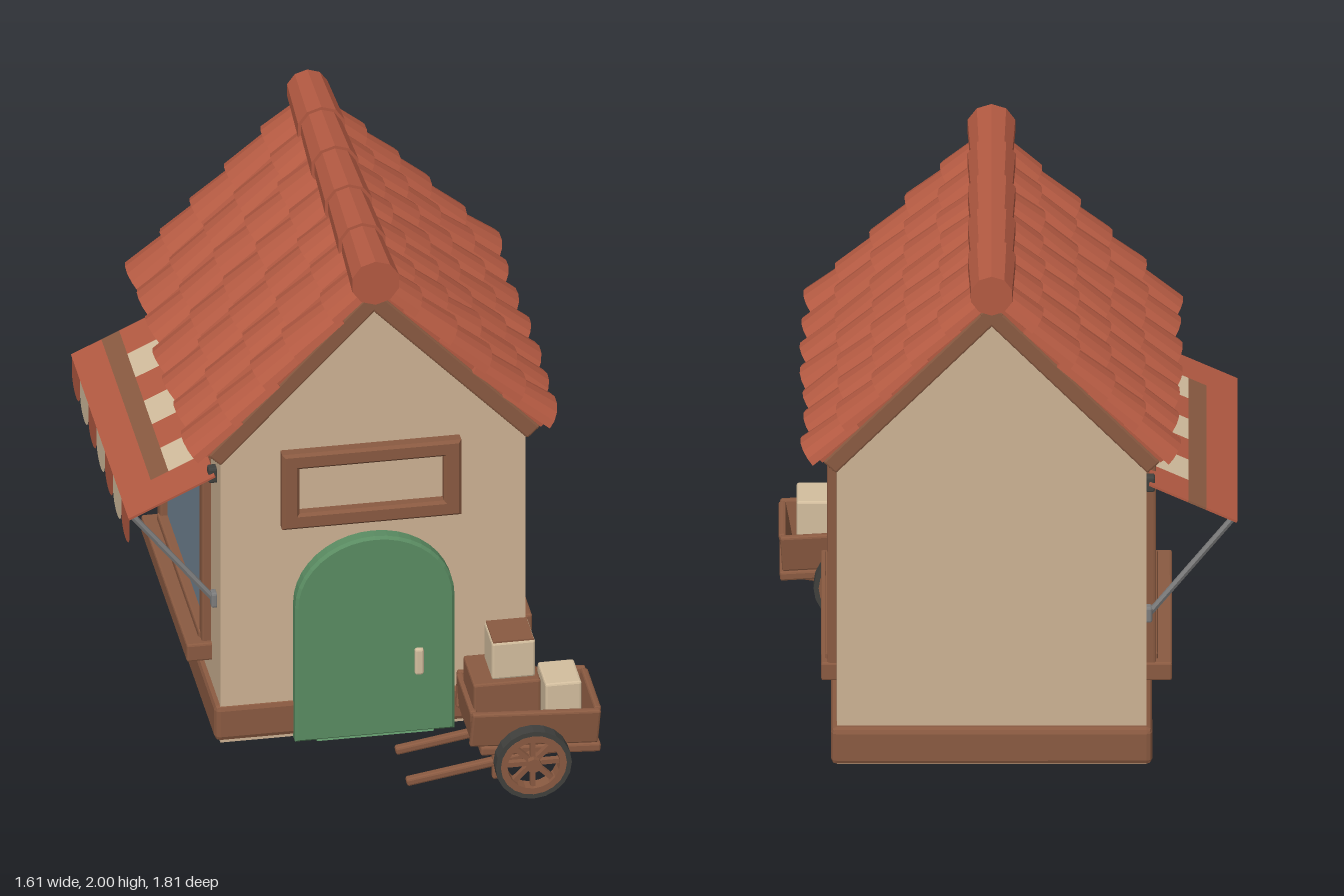
import * as THREE from 'three';
import { RoundedBoxGeometry } from 'three/addons/geometries/RoundedBoxGeometry.js';

const mat = (name, color) => {
  const m = new THREE.MeshStandardMaterial({ color, flatShading: true, side: THREE.DoubleSide });
  m.name = name;
  return m;
};
const M = {
  tile: mat('terracotta', 0xb45a42), wood: mat('brown wood', 0x8a5a41), wall: mat('plaster', 0xcdb293),
  green: mat('door green', 0x5a8c62), glass: mat('window glass', 0x728594), cream: mat('cream', 0xd3be9e),
  metal: mat('grey metal', 0x7c7c7c), dark: mat('dark tyre', 0x40403d),
};
const CX = 0.055, CZ = -0.215; // centre of the house

let seed = 7;
const jitter = (a) => { seed = (seed * 16807) % 2147483647; return (seed / 2147483647 - 0.5) * 2 * a; };

function add(parent, name, geo, m, x = 0, y = 0, z = 0) {
  const mesh = new THREE.Mesh(geo, m);
  mesh.name = name;
  mesh.position.set(x, y, z);
  parent.add(mesh);
  return mesh;
}
function group(parent, name, x = 0, y = 0, z = 0) {
  const g = new THREE.Group();
  g.name = name;
  g.position.set(x, y, z);
  parent.add(g);
  return g;
}
// box given by its limits, with softened edges
function box(parent, name, m, [x0, x1], [y0, y1], [z0, z1], r = 0.008) {
  const w = x1 - x0, h = y1 - y0, d = z1 - z0;
  const geo = r ? new RoundedBoxGeometry(w, h, d, 1, Math.min(r, w * 0.4, h * 0.4, d * 0.4)) : new THREE.BoxGeometry(w, h, d);
  return add(parent, name, geo, m, (x0 + x1) / 2, (y0 + y1) / 2, (z0 + z1) / 2);
}
// round bar between two points
function bar(parent, name, m, a, b, r, sides = 6) {
  const p = new THREE.Vector3(...a), q = new THREE.Vector3(...b), d = q.clone().sub(p);
  const mesh = add(parent, name, new THREE.CylinderGeometry(r, r, d.length(), sides), m);
  mesh.position.copy(p).add(q).multiplyScalar(0.5);
  mesh.quaternion.setFromUnitVectors(new THREE.Vector3(0, 1, 0), d.normalize());
  return mesh;
}
function extrude(shape, depth, bevel = 0) {
  return new THREE.ExtrudeGeometry(shape, {
    depth, curveSegments: 10, bevelEnabled: bevel > 0, bevelSize: bevel, bevelThickness: bevel, bevelOffset: -bevel, bevelSegments: 1,
  });
}
const rect = (x0, x1, y0, y1) => new THREE.Shape([[x0, y0], [x1, y0], [x1, y1], [x0, y1]].map((p) => new THREE.Vector2(...p)));
function arch(half, bottom, top) {
  const s = new THREE.Shape(), spring = top - half * 0.93;
  s.moveTo(-half, bottom);
  s.lineTo(half, bottom);
  s.lineTo(half, spring);
  s.absellipse(0, spring, half, half * 0.93, 0, Math.PI, false, 0);
  s.closePath();
  return s;
}
function frame(parent, name, m, [x0, x1], [y0, y1], t, z0, z1) {
  const s = rect(x0, x1, y0, y1);
  s.holes.push(rect(x0 + t, x1 - t, y0 + t, y1 - t));
  return add(parent, name, extrude(s, z1 - z0 - 0.02, 0.01), m, 0, 0, z0 + 0.01);
}

function buildWalls(root) {
  const g = group(root, 'walls');
  const s = new THREE.Shape([[-0.49, 0.06], [0.6, 0.06], [0.6, 1.22], [CX, 1.79], [-0.49, 1.22]].map((p) => new THREE.Vector2(...p)));
  add(g, 'plasterWalls', extrude(s, 1.265), M.wall, 0, 0, -0.85);
  box(g, 'plinth', M.wood, [-0.51, 0.62], [0.067, 0.21], [-0.88, 0.425], 0.02);
}

function buildRoof(root) {
  const g = group(root, 'roof', CX, 1.87, CZ);
  const rows = 5, cols = 7, pitch = 0.195, step = 0.174;
  for (const turn of [0, Math.PI]) {
    const side = group(g, 'roofSide');
    side.rotation.y = turn;
    const slope = group(side, 'roofSlope');
    slope.rotation.z = -0.807;
    box(slope, 'roofBoards', M.wood, [0, 0.86], [-0.065, 0], [-0.66, 0.66]);
    box(slope, 'tileBed', M.tile, [0, 0.86], [0, 0.016], [-0.66, 0.66], 0);
    // overlapping barrel tiles
    for (let c = 0; c < cols; c++) for (let r = 0; r < rows; r++) {
      const geo = new THREE.CylinderGeometry(0.088, 0.103 + jitter(0.004), step + 0.04, 7, 1, false, 0, Math.PI);
      geo.rotateZ(Math.PI / 2).scale(1, 0.62, 1);
      const tile = add(slope, 'roofTile', geo, M.tile, (r + 0.5) * step - 0.008 + jitter(0.012), 0.014, (c - 3) * pitch + jitter(0.006));
      tile.rotation.set(jitter(0.05), jitter(0.05), 0.09 + jitter(0.03));
    }
  }
  // ridge caps
  for (let i = 0; i < 5; i++) {
    const cap = add(g, 'ridgeCap', new THREE.CylinderGeometry(0.088, 0.076, 0.285, 10), M.tile, 0, 0.042, (i - 2) * 0.273);
    cap.rotation.x = Math.PI / 2;
  }
}

function buildDoor(root) {
  const g = group(root, 'door', CX, 0, 0);
  const surround = arch(0.285, 0.06, 0.87);
  surround.holes.push(arch(0.2, 0.07, 0.785));
  add(g, 'doorFrame', extrude(surround, 0.04, 0.01), M.green, 0, 0, 0.415);
  add(g, 'doorPanel', extrude(arch(0.215, 0.065, 0.8), 0.03), M.green, 0, 0, 0.405);
  for (let i = 0; i < 4; i++) {
    const x = -0.2 + i * 0.1;
    box(g, 'doorPlank', M.green, [x + 0.004, x + 0.096], [0.07, 0.36], [0.42, 0.447]);
  }
  box(g, 'doorLedge', M.green, [-0.205, 0.205], [0.345, 0.42], [0.42, 0.46]);
  frame(g, 'doorWindowFrame', M.green, [-0.1, 0.115], [0.475, 0.7], 0.028, 0.42, 0.465);
  box(g, 'doorWindowGlass', M.glass, [-0.08, 0.095], [0.495, 0.68], [0.435, 0.443], 0);
  box(g, 'doorHandle', M.cream, [0.14, 0.172], [0.3, 0.405], [0.45, 0.48]);
}

function buildSign(root) {
  const g = group(root, 'signBoard');
  frame(g, 'signFrame', M.wood, [-0.275, 0.365], [0.925, 1.23], 0.062, 0.4, 0.46);
  box(g, 'signPanel', M.wall, [-0.23, 0.32], [0.97, 1.19], [0.412, 0.42], 0);
}

function buildSideWindows(root) {
  for (const s of [1, -1]) {
    const g = group(root, s > 0 ? 'leftWindow' : 'rightWindow', CX, 0, 0);
    const span = (a, b) => (s > 0 ? [a, b] : [-b, -a]);
    box(g, 'windowGlass', M.glass, span(0.543, 0.551), [0.38, 1.2], [-0.62, 0.19], 0);
    for (const z of [-0.67, 0.17]) box(g, 'windowPost', M.wood, span(0.53, 0.578), [0.36, 1.19], [z, z + 0.06]);
    box(g, 'lowerRail', M.wood, span(0.53, 0.585), [0.36, 0.395], [-0.64, 0.2]);
    box(g, 'windowSill', M.wood, span(0.53, s > 0 ? 0.6 : 0.635), [0.3, 0.37], [-0.675, 0.25]);
  }
}

function buildAwning(root) {
  const g = group(root, 'awning');
  const cloth = group(g, 'awningCloth', -0.5, 1.12, 0);
  cloth.rotation.z = 0.437;
  const z0 = -0.79, w = 1.16 / 7;
  const t = [-0.004, 0.004];
  box(cloth, 'outerBand', M.tile, [-0.34, -0.22], t, [z0, z0 + 7 * w], 0);
  box(cloth, 'middleBand', M.wood, [-0.22, -0.15], t, [z0, z0 + 6 * w], 0);
  box(cloth, 'endBand', M.tile, [-0.22, -0.15], t, [z0 + 6 * w, z0 + 7 * w], 0);
  for (let i = 0; i < 7; i++) {
    const m = i % 2 ? M.cream : M.tile, a = z0 + i * w;
    box(cloth, 'clothStripe', m, [-0.15, 0], t, [a, a + w], 0);
    // scalloped valance
    const s = new THREE.Shape();
    s.moveTo(-w / 2, 0);
    s.lineTo(-w / 2, -0.07);
    s.absellipse(0, -0.07, w / 2, 0.055, Math.PI, Math.PI * 2, false, 0);
    s.lineTo(w / 2, 0);
    s.closePath();
    const flap = add(g, 'valanceFlap', new THREE.ShapeGeometry(s, 6), m, -0.806, 0.978, a + w / 2);
    flap.rotation.y = -Math.PI / 2;
  }
  for (const z of [-0.75, 0.33]) {
    bar(g, 'awningArm', M.metal, [-0.79, 0.968, z], [-0.495, 0.595, z], 0.012);
    box(g, 'armFoot', M.metal, [-0.51, -0.485], [0.57, 0.63], [z - 0.02, z + 0.02]);
    box(g, 'topBracket', M.dark, [-0.52, -0.485], [1.08, 1.14], [z - 0.02, z + 0.02]);
  }
}

function ring(outer, inner, depth) {
  const s = new THREE.Shape().absarc(0, 0, outer, 0, Math.PI * 2, false);
  s.holes.push(new THREE.Path().absarc(0, 0, inner, 0, Math.PI * 2, true));
  return extrude(s, depth).translate(0, 0, -depth / 2);
}

function buildCart(root) {
  const g = group(root, 'handCart');
  for (const z of [0.435, 0.872]) {
    const wheel = group(g, 'wheel', 0.545, 0.14, z);
    add(wheel, 'tyre', ring(0.136, 0.116, 0.05), M.dark);
    add(wheel, 'rim', ring(0.118, 0.094, 0.052), M.wood);
    for (let i = 0; i < 4; i++) {
      const spoke = add(wheel, 'spokePair', new THREE.BoxGeometry(0.2, 0.018, 0.022), M.wood);
      spoke.rotation.z = (i * Math.PI) / 4;
    }
    add(wheel, 'hub', new THREE.CylinderGeometry(0.028, 0.028, 0.065, 8).rotateX(Math.PI / 2), M.wood);
  }
  bar(g, 'axle', M.wood, [0.545, 0.14, 0.42], [0.545, 0.14, 0.89], 0.014);
  // tray
  const tray = group(g, 'tray', 0.56, 0.15, 0.66);
  tray.rotation.z = -0.06;
  box(tray, 'trayFloor', M.wood, [-0.19, 0.24], [-0.015, 0.02], [-0.155, 0.155]);
  for (const s of [1, -1]) {
    const panel = box(tray, 'traySide', M.wood, [-0.23, 0.23], [0.02, 0.16], [s * 0.145 - 0.013, s * 0.145 + 0.013]);
    panel.rotation.x = s * 0.12;
    const end = box(tray, 'trayEnd', M.wood, [s * 0.215 - 0.013, s * 0.215 + 0.013], [0.02, 0.16], [-0.14, 0.14]);
    end.rotation.z = -s * 0.12;
  }
  for (const z of [0.535, 0.755]) {
    const shaft = box(g, 'handle', M.wood, [0.11, 0.72], [0.07, 0.1], [z - 0.016, z + 0.016]);
    shaft.rotation.z = 0.16;
    box(g, 'leg', M.wood, [0.42, 0.455], [0.02, 0.14], [z - 0.016, z + 0.016]);
  }
  // cargo
  box(g, 'woodCrate', M.wood, [0.35, 0.59], [0.17, 0.42], [0.57, 0.785]);
  box(g, 'tallBox', M.cream, [0.42, 0.575], [0.42, 0.568], [0.6, 0.76]);
  box(g, 'tallBoxLid', M.wood, [0.425, 0.57], [0.566, 0.573], [0.605, 0.755], 0);
  box(g, 'smallBox', M.cream, [0.61, 0.74], [0.17, 0.385], [0.6, 0.765]);
}

export function createModel() {
  const root = new THREE.Group();
  root.name = 'cottageShop';
  for (const build of [buildWalls, buildRoof, buildDoor, buildSign, buildSideWindows, buildAwning, buildCart]) build(root);
  return root;
}
